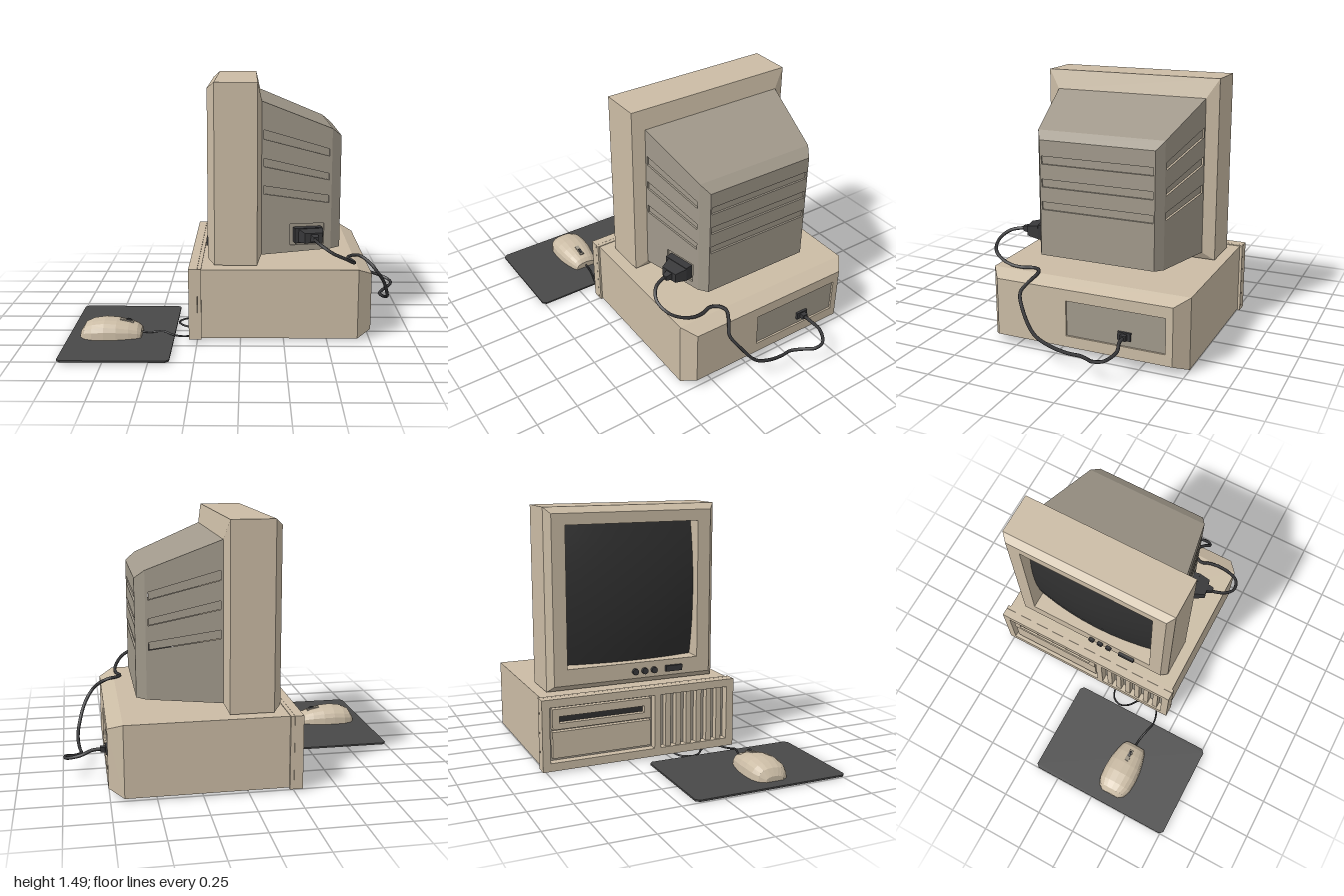
import * as THREE from 'three';

const paint = (name, color) => Object.assign(new THREE.MeshStandardMaterial({ color }), { name });
const beige = paint('beige plastic', 0xcbbca5);
const grey = paint('warm grey plastic', 0xa1998b);
const glass = paint('dark glass', 0x303030);
const rubber = paint('mat rubber', 0x484848);
const black = paint('cable black', 0x38383a);

export function createModel() {
  const model = new THREE.Group();
  let target = model;

  const add = (name, geometry, material) => {
    const mesh = new THREE.Mesh(geometry, material);
    mesh.name = name;
    target.add(mesh);
    return mesh;
  };
  const group = (name) => {
    target = new THREE.Group();
    target.name = name;
    model.add(target);
  };
  const flat = (g) => {
    const out = g.index ? g.toNonIndexed() : g;
    out.computeVertexNormals();
    return out;
  };
  const box = (name, x0, x1, y0, y1, z0, z1, material) =>
    add(name, new THREE.BoxGeometry(x1 - x0, y1 - y0, z1 - z0)
      .translate((x0 + x1) / 2, (y0 + y1) / 2, (z0 + z1) / 2), material);

  // Joins rings of points running along +x; can leave out caps and edge faces
  const loft = (rings, { start = true, end = true, skip = () => false } = {}) => {
    const p = [];
    const tri = (...v) => v.forEach((q) => p.push(...q));
    const n = rings[0].length;
    for (let i = 0; i < rings.length - 1; i++) {
      for (let k = 0; k < n; k++) {
        if (skip(i, k)) continue;
        const j = (k + 1) % n, a = rings[i], b = rings[i + 1];
        tri(a[k], a[j], b[j]);
        tri(a[k], b[j], b[k]);
      }
    }
    const last = rings[rings.length - 1];
    for (let k = 1; k < n - 1; k++) {
      if (start) tri(rings[0][0], rings[0][k + 1], rings[0][k]);
      if (end) tri(last[0], last[k], last[k + 1]);
    }
    const g = new THREE.BufferGeometry();
    g.setAttribute('position', new THREE.Float32BufferAttribute(p, 3));
    return flat(g);
  };
  const rect = (x, y0, y1, z0, z1) => [[x, y0, z0], [x, y1, z0], [x, y1, z1], [x, y0, z1]];

  // Plate with recesses, lying in the plane of u and y, sunk inward from its face
  const quad = (u0, u1, v0, v1) => [[u0, v0], [u1, v0], [u1, v1], [u0, v1]];
  const basis = (origin, u) => {
    const v = new THREE.Vector3(0, 1, 0);
    return new THREE.Matrix4().makeBasis(u, v, u.clone().cross(v)).setPosition(...origin);
  };
  const panel = (name, outline, holes, depth, matrix, material, floor) => {
    const points = (list) => list.map(([a, b]) => new THREE.Vector2(a, b));
    const shape = new THREE.Shape(points(outline));
    holes.forEach((h) => shape.holes.push(new THREE.Path(points(h))));
    add(name, new THREE.ExtrudeGeometry(shape, { depth, bevelEnabled: false })
      .translate(0, 0, -depth).applyMatrix4(matrix), material);
    if (floor) holes.forEach((h) => add(name + ' recess', new THREE.ShapeGeometry(new THREE.Shape(points(h)))
      .translate(0, 0, -depth + 0.001).applyMatrix4(matrix), floor));
  };
  const facingScreen = (x) => basis([x, 0, 0], new THREE.Vector3(0, 0, 1));
  const facingBack = (x) => basis([x, 0, 0], new THREE.Vector3(0, 0, -1));

  // System unit: body with tapered rear and recessed connector panel
  group('system unit');
  add('case body', loft([
    rect(-0.23, 0.018, 0.428, -0.76, 0.42), rect(0.675, 0.018, 0.428, -0.76, 0.42),
    rect(0.757, 0.055, 0.39, -0.69, 0.358)], { end: false }), beige);
  panel('rear panel', quad(-0.358, 0.69, 0.055, 0.39), [quad(0.07, 0.65, 0.12, 0.325)],
    0.012, facingBack(0.757), beige, grey);

  // Case front with drive bay and vents
  panel('front bezel', quad(-0.775, 0.432, 0.012, 0.432),
    [quad(-0.73, -0.09, 0.06, 0.385), quad(-0.05, 0.385, 0.06, 0.385)], 0.05, facingScreen(-0.298), beige, grey);
  box('bezel back', -0.247, -0.225, 0.012, 0.432, -0.775, 0.432, beige);
  box('drive cover', -0.28, -0.24, 0.08, 0.235, -0.71, -0.11, beige);
  panel('drive bay', quad(-0.71, -0.11, 0.25, 0.37), [quad(-0.67, -0.15, 0.285, 0.325)],
    0.03, facingScreen(-0.285), beige, glass);
  for (let i = 0; i < 6; i++) {
    const z = -0.015 + i * 0.067;
    box('vent slat', -0.288, -0.245, 0.06, 0.385, z, z + 0.033, beige);
  }

  // Monitor front housing and bulging screen
  group('monitor');
  add('screen housing', loft([
    rect(-0.19, 0.47, 1.45, -0.665, 0.315), rect(-0.15, 0.435, 1.485, -0.70, 0.35),
    rect(0.095, 0.435, 1.485, -0.70, 0.35), rect(0.12, 0.48, 1.375, -0.63, 0.28)],
  { start: false }), beige);
  panel('screen frame', quad(-0.665, 0.315, 0.47, 1.45), [quad(-0.585, 0.235, 0.565, 1.385)],
    0.13, facingScreen(-0.19), beige);
  const screen = new THREE.PlaneGeometry(0.82, 0.82, 8, 8);
  const sp = screen.attributes.position;
  for (let i = 0; i < sp.count; i++) {
    sp.setZ(i, -0.015 - 0.27 * (sp.getX(i) ** 2 + sp.getY(i) ** 2));
  }
  screen.computeVertexNormals();
  add('screen', screen.translate(-0.175, 0.975, 0).applyMatrix4(facingScreen(-0.19)), glass);
  for (const z of [-0.17, -0.11, -0.05]) {
    add('control knob', new THREE.CylinderGeometry(0.019, 0.019, 0.03, 12)
      .rotateZ(Math.PI / 2).translate(-0.195, 0.512, z), black);
  }
  box('power switch', -0.208, -0.185, 0.495, 0.53, 0.025, 0.13, black);

  // Tapered rear shell
  add('rear shell', loft([
    rect(0.12, 0.48, 1.375, -0.63, 0.28), rect(0.53, 0.498, 1.21, -0.55, 0.20),
    rect(0.585, 0.503, 1.165, -0.515, 0.165)],
  { start: false, end: false, skip: (i, k) => i === 0 && k % 2 === 0 }), grey);
  panel('rear vents', quad(-0.165, 0.515, 0.503, 1.165),
    [0.77, 0.9, 1.03].map((y) => quad(-0.155, 0.505, y, y + 0.045)), 0.012, facingBack(0.585), grey, grey);
  const slope = Math.atan2(0.08, 0.41);
  const sideBasis = (s) => basis([0.12, 0, -0.175 + s * 0.455],
    new THREE.Vector3(s * Math.cos(slope), 0, -Math.sin(slope)));
  for (const s of [1, -1]) {
    const onSide = (list) => list.map(([x, y]) => [s * (x - 0.12) / Math.cos(slope), y]);
    const holes = [[1.158, 1.212, 1.05, 1.092], [1.0, 1.048, 0.91, 0.948], [0.84, 0.888, 0.775, 0.818]]
      .map(([a, b, c, d]) => [[0.132, a], [0.515, c], [0.515, d], [0.132, b]]);
    if (s === 1) holes.push(quad(0.288, 0.488, 0.53, 0.655));
    panel('side wall', onSide([[0.12, 0.48], [0.53, 0.498], [0.53, 1.21], [0.12, 1.375]]),
      holes.map(onSide), 0.012, sideBasis(s), grey, grey);
  }

  // Power plug, cable and case connector
  group('power lead');
  const tilt = sideBasis(1);
  const u = 0.27 / Math.cos(slope);
  const onWall = (g, du, out) => g.translate(u + du, 0.592, out).applyMatrix4(tilt);
  const taper = (w0, h0, ratio, length) => flat(new THREE.CylinderGeometry(ratio * Math.SQRT1_2, Math.SQRT1_2, length, 4)
    .rotateY(Math.PI / 4).rotateX(Math.PI / 2).scale(w0, h0, 1));
  add('plug base', onWall(new THREE.BoxGeometry(0.165, 0.088, 0.05), 0, 0.01), black);
  add('plug body', onWall(taper(0.145, 0.08, 0.72, 0.07), 0.012, 0.07), black);
  add('plug strain relief', onWall(taper(0.045, 0.045, 0.6, 0.04), 0.015, 0.122), black);
  const tube = (name, pts, radius, steps) => add(name, new THREE.TubeGeometry(
    new THREE.CatmullRomCurve3(pts.map((q) => new THREE.Vector3(...q))), steps, radius, 6), black);
  tube('power cable', [
    [0.42, 0.592, 0.33], [0.43, 0.588, 0.38], [0.46, 0.575, 0.44], [0.52, 0.54, 0.475],
    [0.60, 0.50, 0.455], [0.64, 0.468, 0.40], [0.66, 0.445, 0.32], [0.655, 0.438, 0.25],
    [0.635, 0.438, 0.19], [0.66, 0.44, 0.145], [0.71, 0.436, 0.127], [0.77, 0.40, 0.155],
    [0.81, 0.355, 0.18], [0.86, 0.28, 0.14], [0.90, 0.165, 0.05], [0.908, 0.12, -0.05],
    [0.90, 0.095, -0.15], [0.893, 0.09, -0.22], [0.93, 0.10, -0.28], [0.982, 0.12, -0.335],
    [0.975, 0.13, -0.395], [0.90, 0.155, -0.435], [0.83, 0.178, -0.42], [0.77, 0.18, -0.417]], 0.01, 110);
  box('connector plate', 0.742, 0.76, 0.157, 0.203, -0.453, -0.378, black);
  box('connector', 0.755, 0.787, 0.165, 0.195, -0.435, -0.4, black);

  // Mouse mat with clipped corners
  group('mouse and mat');
  const mat = new THREE.Shape([[-1, -0.145], [-0.98, -0.165], [-0.405, -0.165], [-0.385, -0.145],
    [-0.385, 0.745], [-0.405, 0.765], [-0.98, 0.765], [-1, 0.745]].map(([x, z]) => new THREE.Vector2(x, -z)));
  add('mouse mat', new THREE.ExtrudeGeometry(mat, { depth: 0.01, bevelEnabled: false })
    .rotateX(-Math.PI / 2).translate(0, 0.005, 0), rubber);

  // Mouse: base plate, domed shell and wheel
  const stations = [[-0.93, 0.055, 0.03], [-0.905, 0.09, 0.07], [-0.86, 0.108, 0.09], [-0.79, 0.113, 0.1],
    [-0.72, 0.109, 0.095], [-0.65, 0.095, 0.08], [-0.6, 0.08, 0.062], [-0.577, 0.066, 0.04]];
  const dome = ([x, w, h]) => Array.from({ length: 11 }, (_, i) => {
    const a = Math.PI * (1 - i / 10);
    return [x, 0.015 + h * Math.sin(a) ** 0.7, 0.348 + w * Math.sign(Math.cos(a)) * Math.abs(Math.cos(a)) ** 0.85];
  });
  add('mouse shell', loft(stations.map(dome)), beige);
  add('mouse base', loft(stations.map(([x, w]) =>
    rect(-0.755 + (x + 0.755) * 0.9, 0, 0.022, 0.348 - w * 0.9, 0.348 + w * 0.9))), grey);
  add('wheel housing', new THREE.BoxGeometry(0.08, 0.02, 0.026)
    .rotateZ(-0.2).translate(-0.665, 0.094, 0.348), grey);
  add('mouse wheel', new THREE.CylinderGeometry(0.024, 0.024, 0.014, 12)
    .rotateX(Math.PI / 2).translate(-0.655, 0.088, 0.348), black);
  tube('mouse cable', [
    [-0.59, 0.03, 0.348], [-0.53, 0.028, 0.352], [-0.45, 0.04, 0.37], [-0.39, 0.022, 0.382],
    [-0.33, 0.01, 0.372], [-0.27, 0.008, 0.34], [-0.26, 0.008, 0.27], [-0.30, 0.008, 0.215],
    [-0.35, 0.008, 0.175], [-0.375, 0.008, 0.12], [-0.35, 0.008, 0.067], [-0.30, 0.008, 0.045],
    [-0.255, 0.01, 0.04]], 0.006, 60);

  return model;
}
